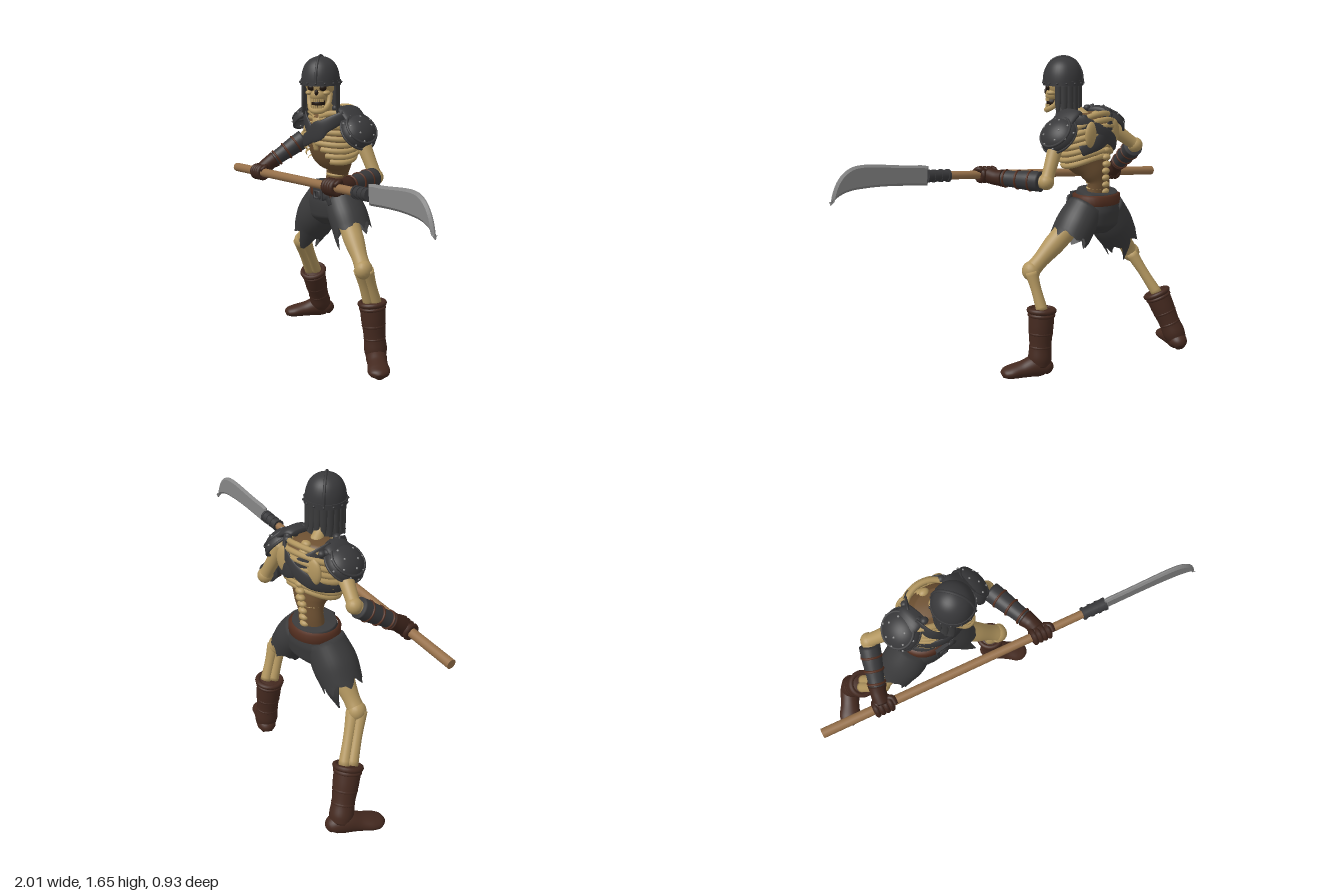
import * as THREE from 'three';

const V = (x, y, z) => new THREE.Vector3(x, y, z);
const mat = (name, color, side = THREE.FrontSide) => {
  const m = new THREE.MeshStandardMaterial({ color, side });
  m.name = name;
  return m;
};

export function createModel() {
  const root = new THREE.Group();
  const bone = mat('bone', 0xb2965f), flesh = mat('driedFlesh', 0x6e5132), dark = mat('blackenedSteel', 0x38383a, THREE.DoubleSide);
  const cloth = mat('darkCloth', 0x3a3a3b, THREE.DoubleSide), boot = mat('bootLeather', 0x44291f), glove = mat('gloveLeather', 0x3d241b);
  const wood = mat('wood', 0x96704a), steel = mat('steel', 0x868686), hollow = mat('hollow', 0x21160f), strap = mat('beltLeather', 0x542f20);

  const add = (name, geo, m, parent = root, pos, scale) => {
    const mesh = new THREE.Mesh(geo, m);
    mesh.name = name;
    if (pos) mesh.position.set(...pos);
    if (scale) mesh.scale.set(...scale);
    parent.add(mesh);
    return mesh;
  };
  const ball = (name, m, pos, scale, parent) => add(name, new THREE.SphereGeometry(1, 18, 12), m, parent, pos, scale);
  const tube = (name, m, pts, r, parent, closed = false) =>
    add(name, new THREE.TubeGeometry(new THREE.CatmullRomCurve3(pts.map(p => V(...p)), closed), 40, r, 8, closed), m, parent);

  // Smooth sweep through sections [x, y, z, radius along ref, radius across]; hem(angle) lengthens an open end
  function sweep(name, m, secs, { ref = V(0, 0, 1), hem, parent = root, steps = 6 } = {}) {
    const curve = new THREE.CatmullRomCurve3(secs.map(s => V(s[0], s[1], s[2])));
    const radii = new THREE.CatmullRomCurve3(secs.map(s => V(s[3], s[4] ?? s[3], 0)));
    const n = (secs.length - 1) * steps, seg = 32, pos = [], idx = [];
    for (let i = 0; i <= n; i++) {
      const p = curve.getPoint(i / n), t = curve.getTangent(i / n), r = radii.getPoint(i / n);
      const u = (typeof ref === 'function' ? ref(p) : ref.clone());
      u.addScaledVector(t, -u.dot(t)).normalize();
      const v = t.clone().cross(u);
      for (let j = 0; j < seg; j++) {
        const a = j / seg * Math.PI * 2;
        const q = p.clone().addScaledVector(u, Math.cos(a) * r.x).addScaledVector(v, Math.sin(a) * r.y);
        if (hem && i === n) q.addScaledVector(t, hem(a));
        pos.push(q.x, q.y, q.z);
        const k = (j + 1) % seg, b = i * seg;
        if (i < n) idx.push(b + j, b + k, b + seg + j, b + k, b + seg + k, b + seg + j);
      }
    }
    const c = pos.length / 3, last = n * seg, s = secs[0], e = secs[secs.length - 1];
    pos.push(s[0], s[1], s[2], e[0], e[1], e[2]);
    for (let j = 0; j < seg; j++) {
      const k = (j + 1) % seg;
      idx.push(c, k, j);
      if (!hem) idx.push(c + 1, last + j, last + k);
    }
    const g = new THREE.BufferGeometry();
    g.setAttribute('position', new THREE.Float32BufferAttribute(pos, 3));
    g.setIndex(idx);
    g.computeVertexNormals();
    return add(name, g, m, parent);
  }

  // Torso core and spine
  sweep('torso', flesh, [[-.28, .9, -.14, .055, .075], [-.275, 1.0, -.15, .052, .068], [-.26, 1.06, -.135, .07, .09],
    [-.25, 1.12, -.1, .11, .135], [-.24, 1.2, -.085, .122, .155], [-.24, 1.29, -.085, .115, .152], [-.24, 1.36, -.085, .06, .09]]);
  for (let i = 0; i < 12; i++) {
    const y = .95 + i * .037, z = i < 4 ? -.195 - i * .003 : -.212 + Math.max(0, i - 8) * .02;
    ball('vertebra', bone, [-.275 + i * .003, y, z], [.026, .017, .02]);
  }
  for (let i = 0; i < 4; i++) ball('lowerSpine', bone, [-.273, .965 + i * .028, -.145], [.066, .016, .056]);

  // Ribs open towards the front at the bottom
  for (let k = 0; k < 8; k++) {
    const y = 1.105 + k * .032, gap = k < 3 ? .62 - k * .16 : .1;
    const w = [.135, .152, .16, .164, .165, .163, .157, .135][k], pts = [];
    for (let i = 0; i <= 24; i++) {
      const a = gap + (Math.PI * 2 - gap * 2) * i / 24;
      pts.push([-.242 + Math.sin(a) * w, y - .022 * Math.cos(a) + .012 * Math.cos(2 * a), -.088 + Math.cos(a) * w * .8]);
    }
    tube('rib', bone, pts, .0145);
  }
  sweep('sternum', bone, [[-.24, 1.15, .03, .012, .016], [-.24, 1.22, .042, .014, .022], [-.24, 1.32, .025, .014, .03]]);
  for (const s of [-1, 1]) {
    tube('collarbone', bone, [[-.24 + s * .02, 1.33, .02], [-.24 + s * .1, 1.35, -.005], [-.24 + s * .18, 1.325, -.07]], .016);
    ball('shoulderBlade', bone, [-.24 + s * .09, 1.26, -.2], [.05, .07, .02]);
  }

  // Harness straps and shoulder yoke
  const outward = p => V(p.x + .24, 0, (p.z + .085) * 1.3);
  sweep('diagonalStrap', dark, [[-.08, 1.34, -.03, .01, .03], [-.16, 1.285, .045, .01, .036], [-.25, 1.225, .062, .01, .036],
    [-.35, 1.185, .02, .01, .034], [-.412, 1.17, -.08, .01, .032], [-.34, 1.2, -.205, .01, .034], [-.22, 1.26, -.228, .01, .036],
    [-.12, 1.32, -.17, .01, .034], [-.08, 1.345, -.08, .01, .03]], { ref: outward });
  sweep('shoulderStrap', dark, [[-.36, 1.365, -.06, .01, .035], [-.335, 1.325, .025, .01, .036], [-.25, 1.245, .06, .01, .03]], { ref: outward });
  sweep('backStrap', dark, [[-.36, 1.36, -.1, .01, .04], [-.32, 1.31, -.195, .01, .045], [-.2, 1.23, -.226, .01, .04], [-.1, 1.18, -.17, .01, .03]], { ref: outward });
  for (const s of [-1, 1]) {
    sweep('yoke', dark, [[-.24 + s * .085, 1.365, -.095, .05, .016], [-.24 + s * .13, 1.363, -.085, .07, .024], [-.24 + s * .2, 1.315, -.08, .07, .02]]);
    for (let i = 0; i < 7; i++) {
      const a = -.4 + i * .56;
      ball('collarTuft', dark, [-.24 + s * (.1 + .035 * Math.sin(a)), 1.375 - .005 * i, -.03 - i * .022], [.02, .018, .019]);
    }
  }

  // Pauldrons with rims, ridges and studs
  function pauldron(side, pos, normal) {
    const g = new THREE.Group();
    g.name = side + 'Pauldron';
    g.position.set(...pos);
    g.quaternion.setFromUnitVectors(V(0, 1, 0), V(...normal).normalize());
    add('plate', new THREE.SphereGeometry(1, 28, 12, 0, Math.PI * 2, 0, Math.PI / 2), dark, g, [0, 0, 0], [.1, .075, .105]);
    for (const [r, y] of [[.101, 0], [.088, .039]])
      add('plateRim', new THREE.TorusGeometry(r, .007, 8, 36).rotateX(Math.PI / 2), dark, g, [0, y, 0]);
    for (let i = 1; i < 18; i++) {
      const h = 1 - i / 20, r = Math.sqrt(1 - h * h), a = i * 2.4;
      ball('stud', steel, [.101 * r * Math.cos(a), .076 * h, .106 * r * Math.sin(a)], [.0055, .0045, .0055], g);
    }
    root.add(g);
  }
  pauldron('left', [-.035, 1.255, -.08], [.78, .62, .05]);
  pauldron('right', [-.42, 1.29, -.085], [-.6, .8, .02]);

  // Head, turned to the model's left
  sweep('neck', bone, [[-.24, 1.33, -.085, .035], [-.225, 1.38, -.03, .03], [-.21, 1.45, .01, .034]]);
  const head = new THREE.Group();
  head.name = 'head';
  head.position.set(-.2, 1.36, .032);
  head.rotation.y = .62;
  root.add(head);
  ball('cranium', bone, [0, .15, .004], [.078, .085, .088], head);
  ball('upperJaw', bone, [0, .09, .055], [.042, .035, .04], head);
  tube('jaw', bone, [[-.056, .1, .015], [-.05, .045, .035], [-.03, .015, .075], [0, .01, .088], [.03, .015, .075], [.05, .045, .035], [.056, .1, .015]], .014, head);
  ball('mouth', hollow, [0, .05, .055], [.036, .028, .034], head);
  ball('nose', hollow, [0, .107, .092], [.01, .015, .008], head);
  for (const s of [-1, 1]) {
    ball('eyeSocket', hollow, [s * .03, .131, .077], [.02, .017, .014], head);
    ball('cheekbone', bone, [s * .045, .103, .058], [.02, .013, .028], head);
    tube('browRidge', bone, [[s * .005, .145, .093], [s * .03, .153, .088], [s * .058, .14, .06]], .009, head);
  }
  for (let i = -3; i <= 3; i++) for (const y of [.066, .033]) {
    const a = i * .28;
    add('tooth', new THREE.BoxGeometry(.009, .016, .008), bone, head, [Math.sin(a) * .04, y, .05 + Math.cos(a) * .038]).rotation.y = a;
  }

  // Helmet with band, crest ridge and rivets, and the hanging hood
  const dome = [[.101, .14], [.1, .175], [.094, .21], [.08, .243], [.056, .268], [.026, .282], [0, .286]];
  add('helmet', new THREE.LatheGeometry(new THREE.SplineCurve(dome.map(p => new THREE.Vector2(...p))).getPoints(20), 36), dark, head);
  add('helmetBand', new THREE.CylinderGeometry(.105, .106, .026, 36, 1), dark, head, [0, .153, 0]);
  tube('helmetRidge', dark, [[0, .15, .103], [0, .215, .093], [0, .27, .056], [0, .288, 0], [0, .27, -.056], [0, .215, -.093], [0, .15, -.103]], .007, head);
  for (let i = 0; i < 14; i++) {
    const a = i / 14 * Math.PI * 2;
    ball('rivet', dark, [Math.sin(a) * .107, .153, Math.cos(a) * .107], [.006, .006, .006], head);
  }
  const hood = [[.094, .15], [.092, .09], [.088, .04], [.1, -.005]].map(p => new THREE.Vector2(...p));
  add('hood', new THREE.LatheGeometry(hood, 30, Math.PI - 1.75, 3.5), cloth, head);
  for (let i = 0; i < 11; i++) {
    const a = Math.PI - 1.8 + i * .36;
    sweep('hoodFold', cloth, [[Math.sin(a) * .09, .15, Math.cos(a) * .09, .01, .018], [Math.sin(a) * .091, .07, Math.cos(a) * .091, .009, .017],
      [Math.sin(a) * .096, -.005 - .015 * (i % 2), Math.cos(a) * .096, .004, .008]], { parent: head, ref: V(Math.sin(a), 0, Math.cos(a)) });
  }

  // Shorts with ragged hems
  const ragged = (spike, len) => a => .018 * Math.sin(a * 7) + .012 * Math.sin(a * 11) + len * Math.pow(Math.max(0, Math.cos(a - spike)), 14);
  sweep('shortsHips', cloth, [[-.285, .95, -.135, .1, .115], [-.285, .9, -.13, .112, .125], [-.285, .84, -.125, .12, .155], [-.285, .77, -.125, .11, .16], [-.28, .72, -.125, .06, .09]]);
  sweep('leftShortsLeg', cloth, [[-.21, .86, -.12, .1], [-.14, .78, -.108, .112, .1], [-.1, .715, -.1, .11, .098]], { hem: ragged(.3, .08) });
  sweep('rightShortsLeg', cloth, [[-.35, .86, -.13, .1], [-.42, .75, -.13, .115], [-.485, .655, -.14, .105, .1]], { hem: ragged(-.7, .09) });
  sweep('backTatter', cloth, [[-.45, .7, -.2, .008, .06], [-.47, .62, -.2, .006, .04], [-.49, .53, -.17, .003, .004]]);

  // Belt and buckle
  const belt = [[.118, -.03], [.134, -.024], [.136, .022], [.118, .03]].map(p => new THREE.Vector2(...p));
  add('belt', new THREE.LatheGeometry(belt, 36), strap, root, [-.285, .905, -.13], [1, 1, .9]);
  add('buckle', new THREE.BoxGeometry(.075, .062, .02), dark, root, [-.265, .9, -.006]);
  add('buckleFrame', new THREE.TorusGeometry(.026, .007, 8, 4).rotateZ(Math.PI / 4), dark, root, [-.265, .9, .008]);
  sweep('beltTail', dark, [[-.23, .905, -.005, .008, .018], [-.2, .885, -.01, .008, .018], [-.185, .85, -.015, .006, .014]]);

  // Legs and boots
  function leg(side, hip, knee, ankle, heel, toe) {
    const at = (a, b, t) => a.map((v, i) => v + (b[i] - v) * t);
    sweep(side + 'Thigh', bone, [[...hip, .06], [...at(hip, knee, .55), .055], [...at(hip, knee, .85), .042], [...knee, .045]]);
    ball(side + 'Knee', bone, knee, [.047, .052, .05]);
    for (const s of [-1, 1])
      sweep(side + 'ShinBone', bone, [knee, at(knee, ankle, .5), ankle].map((p, i) => [p[0] + s * .014, p[1], p[2] - s * .014, [.034, .027, .03][i]]));
    const foot = [heel[0], .06, heel[2]];
    sweep(side + 'BootShaft', boot, [[...ankle, .069], [...at(ankle, foot, .3), .066], [...at(ankle, foot, .65), .058], [...at(ankle, foot, .85), .062], [...foot, .055]]);
    for (const [t, r] of [[.02, .074], [.1, .071], [.42, .063], [.66, .058]]) {
      const p = at(ankle, foot, t);
      const fold = add(side + 'BootFold', new THREE.TorusGeometry(r - .009, t < .05 ? .014 : .011, 10, 28), boot, root, p);
      fold.quaternion.setFromUnitVectors(V(0, 0, 1), V(...ankle).sub(V(...foot)).normalize());
    }
    const d = V(toe[0] - heel[0], 0, toe[2] - heel[2]), f = (t, h, w) => [heel[0] + d.x * t, h, heel[2] + d.z * t, h, w];
    sweep(side + 'Foot', boot, [f(-.3, .024, .024), f(-.2, .045, .048), f(.1, .058, .056), f(.5, .044, .054), f(.82, .035, .06), f(1.02, .028, .05), f(1.12, .018, .022)], { ref: V(0, 1, 0) });
  }
  leg('left', [-.19, .84, -.11], [.095, .555, .0], [.09, .36, -.068], [.115, 0, -.075], [.255, 0, .035]);
  leg('right', [-.36, .84, -.12], [-.585, .55, -.15], [-.652, .325, -.285], [-.705, 0, -.395], [-.82, 0, -.235]);

  // Polearm along its own x axis
  const axis = V(1, .083, .225).normalize(), depth = axis.clone().cross(V(0, 1, 0)).normalize();
  const weapon = new THREE.Group();
  weapon.name = 'polearm';
  weapon.position.set(-.995, .948, .004);
  weapon.quaternion.setFromRotationMatrix(new THREE.Matrix4().makeBasis(axis, depth.clone().cross(axis), depth));
  root.add(weapon);
  const rod = (name, m, x0, x1, r0, r1 = r0) => add(name, new THREE.CylinderGeometry(r1, r0, x1 - x0, 20).rotateZ(-Math.PI / 2), m, weapon, [(x0 + x1) / 2, 0, 0]);
  rod('shaft', wood, 0, 1.45, .025, .021);
  rod('socket', dark, 1.415, 1.535, .028, .031);
  for (const x of [1.415, 1.455, 1.495, 1.53]) rod('socketRing', dark, x - .007, x + .007, .033);
  const shape = new THREE.Shape();
  shape.moveTo(1.53, -.048);
  shape.lineTo(1.53, .05);
  shape.lineTo(1.57, .055);
  shape.bezierCurveTo(1.72, .05, 1.85, .075, 1.93, .055);
  shape.bezierCurveTo(2.0, .035, 2.04, -.03, 2.048, -.13);
  shape.bezierCurveTo(2.02, -.08, 1.96, -.06, 1.9, -.055);
  shape.bezierCurveTo(1.78, -.04, 1.68, -.045, 1.53, -.048);
  add('blade', new THREE.ExtrudeGeometry(shape, { depth: .006, bevelThickness: .009, bevelSize: .012, bevelOffset: -.012, bevelSegments: 1, curveSegments: 14 }), steel, weapon, [0, 0, -.003]);

  // Arms, bracers and gripping gloves
  function arm(side, shoulder, elbow, wrist, grip) {
    const S = V(...shoulder), E = V(...elbow), W = V(...wrist), on = (a, b, t) => a.clone().lerp(b, t).toArray();
    sweep(side + 'UpperArm', bone, [[...shoulder, .042], [...on(S, E, .5), .036], [...on(S, E, .85), .033], [...elbow, .037]]);
    ball(side + 'Elbow', bone, elbow, [.04, .04, .04]);
    sweep(side + 'Forearm', bone, [[...elbow, .034], [...wrist, .028]]);
    sweep(side + 'Bracer', dark, [[...on(E, W, .1), .052], [...on(E, W, .35), .05], [...on(E, W, .7), .042], [...on(E, W, .95), .04]], { ref: V(0, 1, 0) });
    for (const t of [.3, .55, .8]) {
      const b = add(side + 'BracerStrap', new THREE.TorusGeometry(.053 - t * .013, .006, 8, 26), strap, root, on(E, W, t));
      b.quaternion.setFromUnitVectors(V(0, 0, 1), W.clone().sub(E).normalize());
    }
    const G = V(grip * 1.0, .948 + .083 * (grip + .995), .004 + .225 * (grip + .995));
    sweep(side + 'GloveCuff', glove, [[...on(E, W, .85), .046], [...wrist, .04], [...on(W, G, .7), .042]], { ref: V(0, 1, 0) });
    const palm = ball(side + 'Palm', glove, on(W, G, .75), [.055, .04, .036]);
    palm.quaternion.copy(weapon.quaternion);
    for (let i = 0; i < 4; i++) {
      const c = G.clone().addScaledVector(axis, (i - 1.5) * .025);
      const f = add(side + 'Finger', new THREE.TorusGeometry(.031, .0145, 8, 20), glove, root, c.toArray());
      f.quaternion.setFromUnitVectors(V(0, 0, 1), axis);
    }
    const T = G.clone().addScaledVector(axis, .055);
    sweep(side + 'Thumb', glove, [[...on(W, G, .6), .018], [T.x, T.y + .03, T.z - .01, .015], [T.x, T.y + .015, T.z + .025, .011]], { ref: V(1, 0, 0) });
  }
  arm('left', [-.03, 1.26, -.08], [.085, 1.035, -.095], [.15, 1.035, .19], .15);
  arm('right', [-.42, 1.28, -.1], [-.565, 1.165, -.18], [-.665, 1.02, .02], -.68);
  return root;
}
